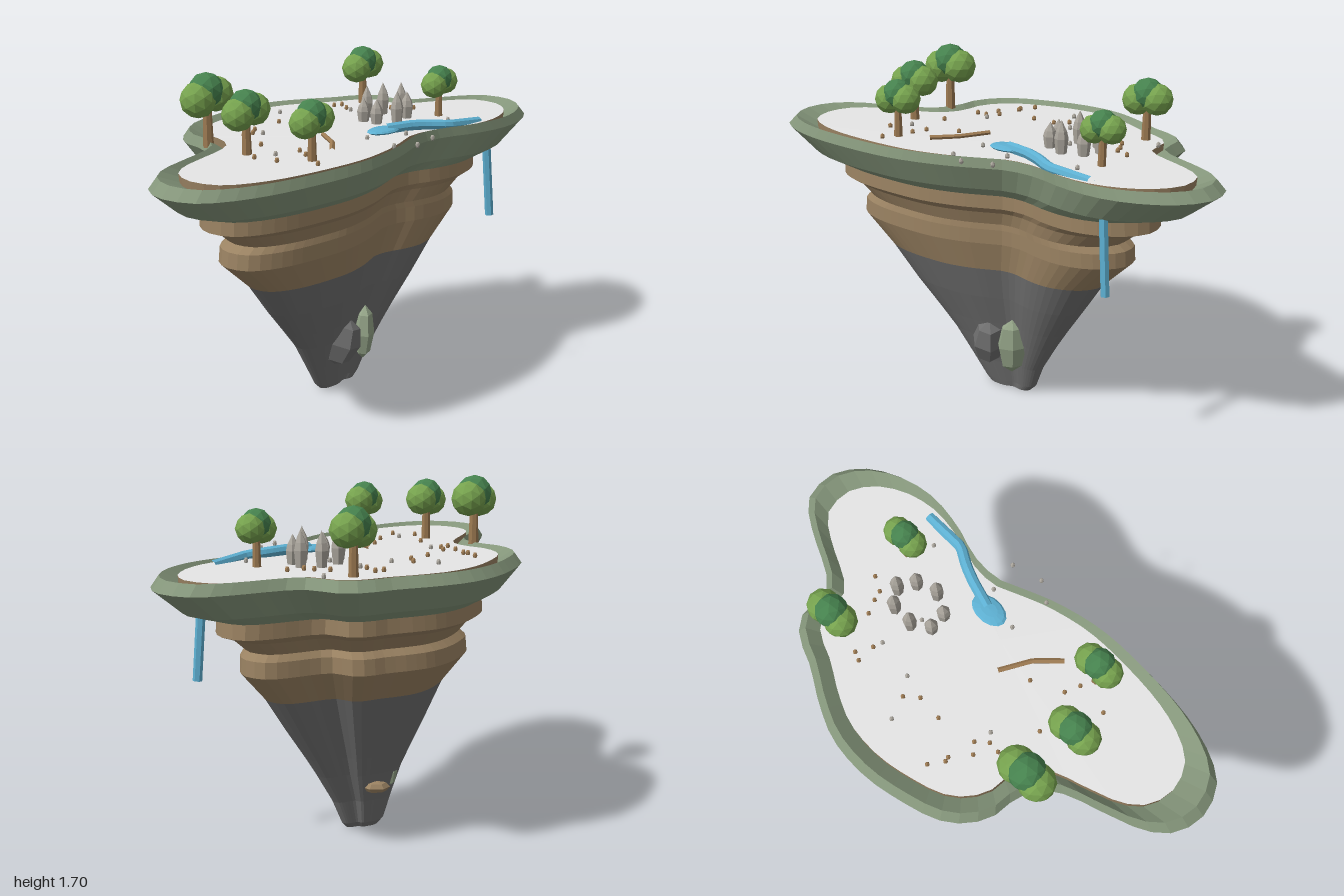
import * as THREE from 'three';

const mat = (name, color, flatShading = true) => {
  const m = new THREE.MeshStandardMaterial({ color, flatShading });
  m.name = name;
  return m;
};

// Island outline (x, z), clockwise seen from above
const OUTLINE = [
  [0.69, -1], [0.82, -0.91], [0.866, -0.755], [0.835, -0.58], [0.745, -0.42], [0.587, -0.278], [0.43, -0.18],
  [0.32, -0.06], [0.27, 0.08], [0.21, 0.24], [0.085, 0.463], [-0.1, 0.675], [-0.31, 0.865], [-0.47, 0.96],
  [-0.6, 0.995], [-0.75, 0.94], [-0.835, 0.82], [-0.84, 0.69], [-0.77, 0.495], [-0.7, 0.32], [-0.69, 0.2],
  [-0.74, 0.1], [-0.83, 0], [-0.866, -0.13], [-0.857, -0.235], [-0.79, -0.394], [-0.68, -0.58], [-0.52, -0.74],
  [-0.34, -0.83], [-0.18, -0.886], [-0.05, -0.95], [0.04, -0.965], [0.11, -0.935], [0.165, -0.88],
  [0.23, -0.855], [0.32, -0.88], [0.48, -0.95], [0.61, -0.995],
];

export function createModel() {
  const island = new THREE.Group();
  island.name = 'floatingIsland';

  const floorGrey = mat('pale ground', 0xe6e6e6);
  const rimGreen = mat('moss green', 0x84957a);
  const earth = mat('earth brown', 0x9a8262);
  const rock = mat('dark rock', 0x6e6e6e);
  const leafLight = mat('light leaf', 0x76a24e);
  const leafDark = mat('dark leaf', 0x46824e);
  const bark = mat('bark', 0x9c7a52);
  const water = mat('water', 0x5db0d2);
  const crystalGrey = mat('stone grey', 0xaaa59c);
  const boulderGreen = mat('lichen green', 0x92a286);

  const add = (name, geo, material, pos = [0, 0, 0], parent = island) => {
    const m = new THREE.Mesh(geo, material);
    m.name = name;
    m.position.set(...pos);
    parent.add(m);
    return m;
  };

  // Loft the outline through rows of [y, scale, shiftX, shiftZ]
  const N = 72;
  const curve = new THREE.CatmullRomCurve3(OUTLINE.map(([x, z]) => new THREE.Vector3(x, 0, z)), true);
  const ring = curve.getSpacedPoints(N).slice(0, N);
  const loft = (rows) => {
    const pos = [], idx = [];
    rows.forEach(([y, s, dx = 0, dz = 0], r) => ring.forEach((p, i) => {
      pos.push(p.x * s + dx, y, p.z * s + dz);
      if (r === rows.length - 1) return;
      const j = (i + 1) % N, a = r * N + i, b = r * N + j;
      idx.push(a, b, a + N, b, b + N, a + N);
    }));
    const g = new THREE.BufferGeometry();
    g.setAttribute('position', new THREE.Float32BufferAttribute(pos, 3));
    g.setIndex(idx);
    g.computeVertexNormals();
    return g;
  };

  // Ground disc with an earth edge, standing in the hollow of the mossy rim
  add('ground', loft([[1.362, 0, 0, -0.02], [1.358, 0.87, 0, -0.02]]), floorGrey);
  add('groundEdge', loft([[1.358, 0.87, 0, -0.02], [1.3, 0.865, 0, -0.02]]), earth);
  add('mossRim', loft([[1.31, 0.855, 0, -0.02], [1.368, 0.96], [1.32, 1], [1.2, 0.875, -0.015, -0.01],
    [1.15, 0.745, -0.04, -0.02], [1.15, 0.66, -0.04, -0.02]]), rimGreen);
  // Earth ledges and rocky root
  add('earthLedges', loft([[1.16, 0.735, -0.045, -0.025], [1.08, 0.74, -0.045, -0.025],
    [1.05, 0.67, -0.05, -0.03], [0.985, 0.605, -0.055, -0.03], [0.955, 0.635, -0.06, -0.03],
    [0.88, 0.64, -0.0625, -0.03], [0.73, 0.51, -0.06, -0.035]]), earth);
  add('rockRoot', loft([[0.73, 0.51, -0.06, -0.035], [0.56, 0.41, -0.07, -0.055], [0.4, 0.31, -0.08, -0.08],
    [0.3, 0.25, -0.085, -0.095], [0.15, 0.175, -0.1, -0.11], [0.03, 0.125, -0.105, -0.13],
    [0, 0.1, -0.105, -0.13], [0.02, 0, -0.105, -0.13]]), rock);

  // Trees: trunk, two light crowns and a dark crown on top
  const crown = new THREE.IcosahedronGeometry(0.088, 1);
  const trunk = new THREE.CylinderGeometry(0.021, 0.027, 0.2, 7);
  [[-0.69, 0.145, 1], [-0.476, 0.34, 0.9], [-0.164, 0.43, 0.84], [-0.005, -0.775, 0.9], [0.407, -0.49, 0.78]]
    .forEach(([x, z, s]) => {
      const tree = new THREE.Group();
      tree.name = 'tree';
      tree.position.set(x, 1.35, z);
      tree.scale.setScalar(s);
      island.add(tree);
      add('trunk', trunk, bark, [0, 0.09, 0], tree);
      add('frontCrown', crown, leafLight, [-0.033, 0.228, 0.045], tree);
      add('backCrown', crown, leafLight, [0.035, 0.24, -0.045], tree);
      add('topCrown', crown, leafDark, [0, 0.265, 0], tree);
    });

  // Ring of standing stones
  const stone = new THREE.LatheGeometry([[0, 0], [0.025, 0], [0.034, 0.085], [0.026, 0.12], [0, 0.175]]
    .map(([r, y]) => new THREE.Vector2(r, y)), 6);
  [[0.037, -0.44, 1], [0.116, -0.52, 1], [0.21, -0.516, 1.02], [0.243, -0.43, 0.85],
    [0.196, -0.33, 0.98], [0.095, -0.29, 0.78], [0.026, -0.34, 0.75]].forEach(([x, z, s], i) => {
    const m = add('standingStone', stone, crystalGrey, [x, 1.35, z]);
    m.scale.y = s;
    m.rotation.y = i;
  });

  // Pond, stream and waterfall
  const pond = add('pond', new THREE.SphereGeometry(1, 14, 6), water, [0.138, 1.378, -0.083]);
  pond.scale.set(0.097, 0.016, 0.062);
  pond.rotation.y = 0.85;
  const path = (pts) => {
    const p = new THREE.CurvePath();
    const v = pts.map((a) => new THREE.Vector3(...a));
    for (let i = 1; i < v.length; i++) p.add(new THREE.LineCurve3(v[i - 1], v[i]));
    return p;
  };
  const tube = (pts, r, sides) => new THREE.TubeGeometry(path(pts), 16, r, sides);
  add('stream', tube([[0.15, 1.383, -0.09], [0.27, 1.385, -0.165], [0.35, 1.38, -0.205], [0.455, 1.37, -0.24],
    [0.61, 1.35, -0.405]], 0.027, 8), water);
  add('waterfall', tube([[0.61, 1.35, -0.405], [0.66, 1.2, -0.46], [0.687, 0.83, -0.475]], 0.022, 6), water);

  // Fallen log
  add('log', tube([[-0.153, 1.368, -0.02], [-0.095, 1.368, 0.135], [-0.085, 1.368, 0.28]], 0.013, 5), bark);

  // Boulders set into the rocky root: [x, y, z, sizeX, sizeY, sizeZ, tilt, material]
  const boulder = new THREE.SphereGeometry(1, 6, 4);
  [[-0.065, 0.28, -0.01, 0.1, 0.135, 0.09, -0.3, rock], [0.042, 0.29, -0.12, 0.055, 0.15, 0.08, -0.05, boulderGreen],
    [-0.285, 0.25, -0.03, 0.025, 0.05, 0.035, 0.3, earth], [-0.235, 0.28, -0.2, 0.04, 0.08, 0.045, 0, boulderGreen],
    [-0.16, 0.23, -0.29, 0.07, 0.03, 0.045, 0, earth]].forEach(([x, y, z, sx, sy, sz, tilt, m]) => {
    const b = add('boulder', boulder, m, [x, y, z]);
    b.scale.set(sx, sy, sz);
    b.rotation.z = tilt;
  });

  // Scattered pebbles (x, z)
  const pebble = new THREE.IcosahedronGeometry(0.012, 0);
  const scatter = (list, material) => list.forEach(([x, z]) => {
    add('pebble', pebble, material, [x, 1.368, z]).scale.y = 1.4;
  });
  scatter([[-0.62, -0.3], [-0.6, -0.22], [-0.58, -0.21], [-0.56, -0.1], [-0.5, -0.1], [-0.31, -0.44], [-0.31, -0.36],
    [-0.4, -0.27], [-0.5, -0.03], [-0.54, 0.01], [-0.15, -0.66], [-0.11, -0.68], [-0.08, -0.6], [0.085, -0.64],
    [0.2, -0.6], [0.275, -0.63], [0.155, -0.62], [-0.43, 0.19], [-0.235, 0.29], [-0.19, 0.13], [-0.32, 0.47],
    [-0.43, 0.42], [-0.13, 0.51], [-0.2, 0.36]], bark);
  scatter([[-0.42, -0.48], [-0.21, -0.43], [-0.45, -0.03], [-0.34, 0.36], [-0.055, -0.56], [0.065, 0.03], [0.25, -0.07],
    [0.38, 0.01], [0.31, 0.15], [0.2, 0.18], [0.455, -0.37], [0.07, -0.39], [0.125, -0.81]], crystalGrey);

  return island;
}
